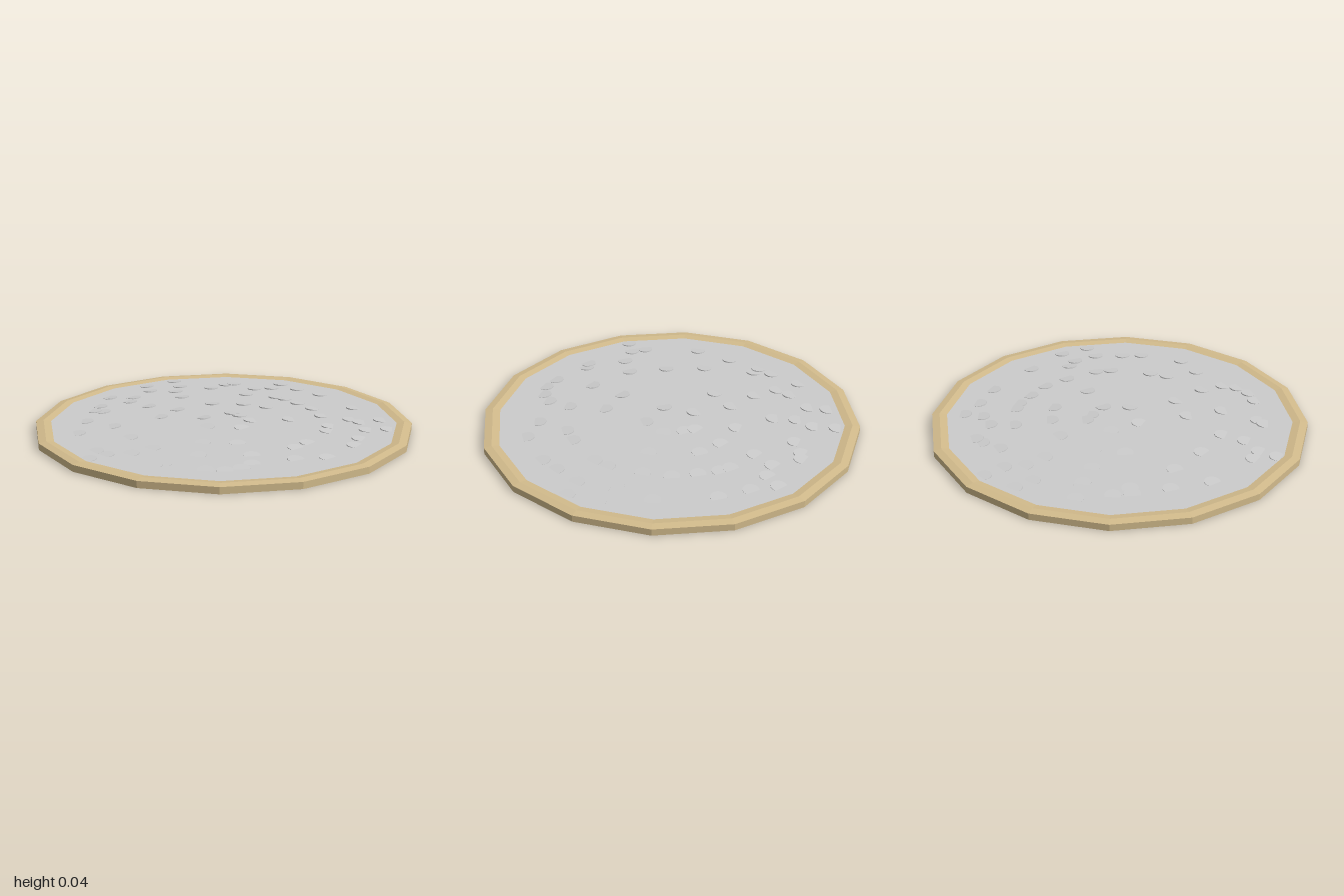
import * as THREE from 'three';

// x, z of each pebble on the plate
const SPOTS = [
  -.31, -.77, -.17, -.76, 0, -.77, .31, -.7, -.29, -.67, -.35, -.59, -.51, -.58, -.53, -.53,
  .56, -.63, -.3, -.47, -.54, -.42, -.14, -.55, -.08, -.56, .03, -.55, .16, -.53, .29, -.46,
  .44, -.52, .51, -.52, .69, -.53, -.04, -.37, -.17, -.32, .21, -.29, .44, -.35, .49, -.28,
  .62, -.44, .69, -.3, .74, -.2, -.8, -.36, -.69, -.31, -.83, -.17, -.74, -.12, -.63, -.22,
  -.52, -.17, -.3, -.2, -.09, -.15, -.03, -.15, .08, -.13, -.35, .02, -.14, .02, .14, 0,
  .55, -.06, .56, .04, .77, .04, .68, .17, -.79, .14, -.7, .04, -.65, .11, -.51, .09,
  -.31, .18, 0, .12, .31, .2, .18, .32, .49, .28, .58, .37, .59, .45, -.69, .29,
  -.6, .34, -.64, .37, -.52, .52, -.35, .47, -.14, .53, .07, .56, .31, .47, .56, .53,
  .49, .59, -.38, .68, .06, .69, .29, .68, .27, .72, -.09, .79, -.01, .79, -.02, .89,
];
const SIDES = 16, GROUND = 0.035, PEBBLE_R = 0.042, PEBBLE_H = 0.012, TILT = 0.1;

export function createModel() {
  const model = new THREE.Group();
  const tan = new THREE.MeshStandardMaterial({ color: 0xd2bb8c, flatShading: true });
  const grey = new THREE.MeshStandardMaterial({ color: 0xcccccc, flatShading: true });

  // Base and low ridged rim, turned in one profile
  const profile = [[0, 0], [1, 0], [1, 0.035], [0.96, 0.041], [0.92, GROUND]]
    .map(([r, y]) => new THREE.Vector2(r, y));
  const rim = new THREE.Mesh(new THREE.LatheGeometry(profile, SIDES), tan);
  rim.name = 'baseAndRim';
  model.add(rim);

  // Flat floor inside the rim
  const floor = new THREE.Mesh(new THREE.CircleGeometry(0.92, SIDES).rotateX(-Math.PI / 2), grey);
  floor.position.y = GROUND;
  floor.name = 'floor';
  model.add(floor);

  // Thin round pebbles, each leaning outward with its outer edge sunk in the floor
  const pebbles = new THREE.Group();
  pebbles.name = 'pebbles';
  const disc = new THREE.CylinderGeometry(PEBBLE_R, PEBBLE_R, PEBBLE_H, 16).translate(0, -PEBBLE_H / 2, 0);
  for (let i = 0; i < SPOTS.length; i += 2) {
    const [x, z] = [SPOTS[i], SPOTS[i + 1]];
    const pebble = new THREE.Mesh(disc, grey);
    pebble.name = 'pebble';
    pebble.position.set(x, GROUND + 0.002, z);
    pebble.rotation.set(TILT, Math.atan2(x, z), 0, 'YXZ');
    pebbles.add(pebble);
  }
  model.add(pebbles);
  return model;
}
